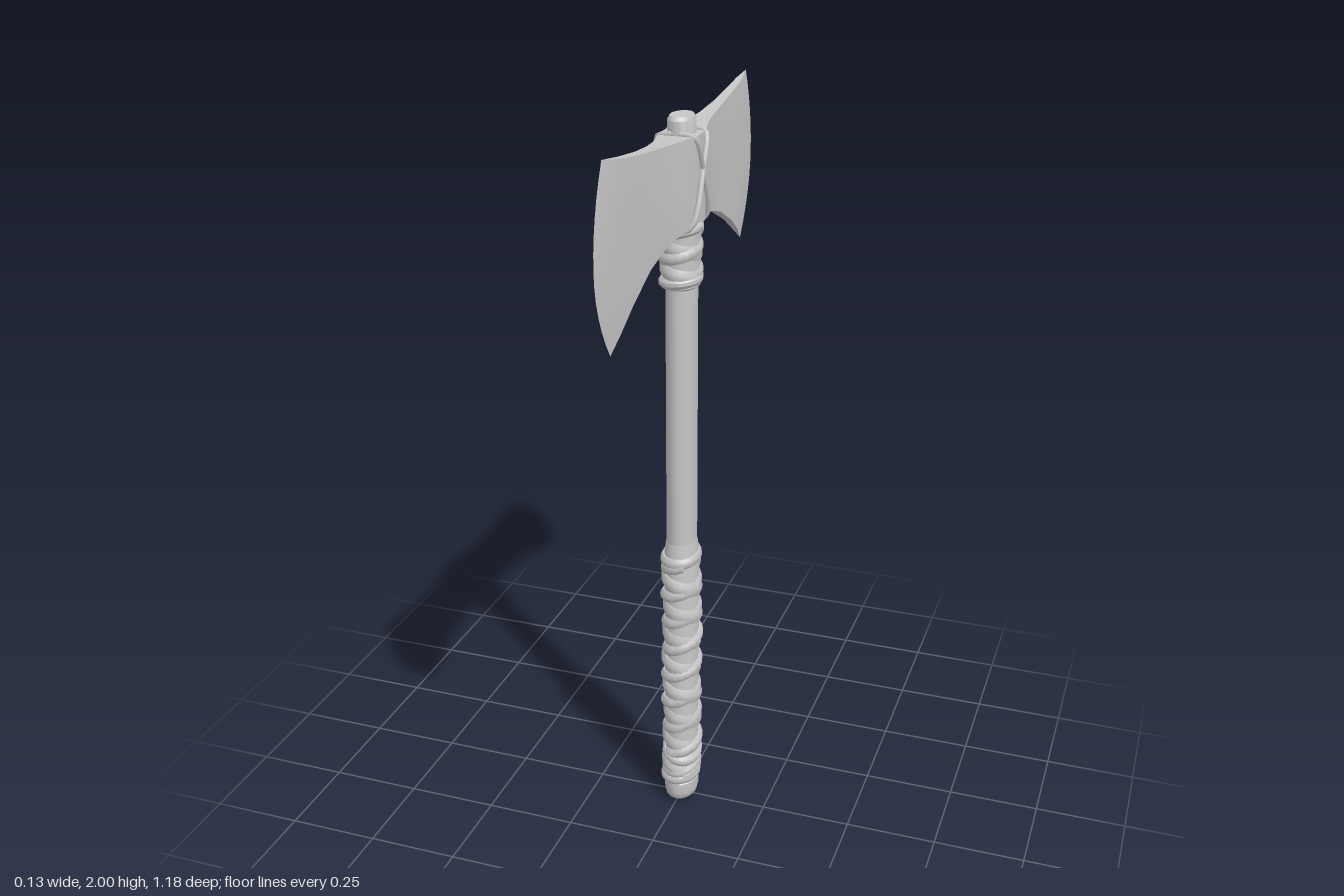
import * as THREE from 'three';
import { toCreasedNormals } from 'three/addons/utils/BufferGeometryUtils.js';

const TAU = Math.PI * 2;

// Skins a series of equal-length closed rings of [x, y, z] points.
function loft(rings, crease) {
  const n = rings[0].length, index = [];
  for (let i = 0; i < rings.length - 1; i++) {
    for (let j = 0; j < n; j++) {
      const a = i * n + j, b = i * n + (j + 1) % n;
      index.push(a, b, b + n, a, b + n, a + n);
    }
  }
  const g = new THREE.BufferGeometry();
  g.setAttribute('position', new THREE.Float32BufferAttribute(rings.flat(2), 3));
  g.setIndex(index);
  return toCreasedNormals(g, crease);
}

// Piecewise linear lookup in [x, y] pairs.
function lookup(table, x) {
  for (let i = 1; i < table.length; i++) {
    const [x0, y0] = table[i - 1], [x1, y1] = table[i];
    if (x <= x1) return y0 + (y1 - y0) * (x - x0) / (x1 - x0);
  }
  return table[table.length - 1][1];
}

// Oval turned piece; the profile holds [z radius, y], x is scaled down.
function oval(profile, xScale) {
  const points = profile.map(([r, y]) => new THREE.Vector2(r, y));
  const g = new THREE.LatheGeometry(points, 16);
  g.scale(xScale, 1, 1);
  return toCreasedNormals(g, 0.6);
}

// Double-bitted head: half thickness against distance from the haft.
const thickness = [[0, 0.05], [0.05, 0.047], [0.1, 0.036], [0.15, 0.027], [0.22, 0.02],
  [0.32, 0.015], [0.45, 0.012], [0.53, 0.008], [0.59, 0]];
function headGeometry() {
  const rows = 12, rings = [];
  const stations = thickness.map(([z]) => z / 0.59);
  const us = [...stations.slice(1).reverse().map(u => -u), ...stations];
  for (const u of us) {
    const half = lookup(thickness, Math.abs(u) * 0.59);
    const side = [];
    for (let j = 0; j <= rows; j++) {
      const v = j / rows, s = 2 * v - 1;
      const z = u * (0.59 - (s < 0 ? 0.09 : 0.06) * s * s);
      const tip = Math.abs(u);
      const top = 1.945 + 0.055 * tip ** 2;
      const bottom = 1.72 - 0.18 * tip ** 2.3;
      side.push([half, bottom + (top - bottom) * v, z]);
    }
    rings.push([...side, ...side.map(([x, y, z]) => [-x, y, z]).reverse()]);
  }
  return loft(rings, 0.5);
}

// Flat leather strip wound round the oval haft from y0 to y1.
function strip({ y0, y1, turns, width, lift, phase = 0, tilt = 0 }) {
  const steps = Math.round(turns * 20), rings = [];
  for (let i = 0; i <= steps; i++) {
    const t = i / steps, a = phase + t * turns * TAU;
    const y = y0 + (y1 - y0) * t + tilt * Math.cos(a * 1.0 + phase);
    const d = lift + 0.0025 * Math.sin(a * 0.73 + phase);
    const h = width / 2;
    const profile = [[-0.006, -h], [d * 0.6, -h], [d, -h * 0.35], [d, h * 0.35], [d * 0.6, h], [-0.006, h]];
    rings.push(profile.map(([r, dy]) => [(0.042 + r) * Math.cos(a), y + dy, (0.055 + r) * Math.sin(a)]));
  }
  return loft(rings, 0.6);
}

export function createModel() {
  const model = new THREE.Group();
  const grey = new THREE.MeshStandardMaterial({ color: 0xc6c6c6 });
  grey.name = 'plainGrey';
  grey.side = THREE.DoubleSide;
  const add = (name, geometry, parent = model) => {
    const mesh = new THREE.Mesh(geometry, grey);
    mesh.name = name;
    parent.add(mesh);
    return mesh;
  };
  const group = name => {
    const g = new THREE.Group();
    g.name = name;
    model.add(g);
    return g;
  };

  // Haft with its top end and rounded pommel
  add('haft', oval([[0.053, 0.05], [0.053, 1.94]], 0.76));
  add('haftTop', oval([[0.05, 1.9], [0.05, 1.98], [0.042, 1.99], [0, 1.99]], 0.68));
  add('pommel', oval([[0, 0], [0.045, 0.002], [0.058, 0.012], [0.064, 0.03], [0.064, 0.062], [0.05, 0.075]], 0.74));
  add('head', headGeometry());

  // Grip wrapping: sleeve, crossing strips and tied ends
  const grip = group('gripWrap');
  add('gripSleeve', oval([[0.053, 0.06], [0.06, 0.062], [0.06, 0.795], [0.053, 0.835]], 0.78), grip);
  add('gripStripUp', strip({ y0: 0.09, y1: 0.775, turns: 8, width: 0.042, lift: 0.012 }), grip);
  add('gripStripDown', strip({ y0: 0.775, y1: 0.09, turns: 8, width: 0.032, lift: 0.014, phase: 1.1 }), grip);
  for (const [y0, tilt, phase] of [[0.08, 0.006, 0], [0.115, 0.014, 1.3], [0.16, 0.018, 2.4], [0.785, 0.004, 0.7]]) {
    add('gripTie', strip({ y0, y1: y0, turns: 1, width: 0.03, lift: 0.014, tilt, phase }), grip);
  }

  // Binding below the head
  const neck = group('neckWrap');
  add('neckSleeve', oval([[0.053, 1.555], [0.06, 1.56], [0.06, 1.725]], 0.78), neck);
  add('neckStripUp', strip({ y0: 1.58, y1: 1.71, turns: 2, width: 0.038, lift: 0.011 }), neck);
  add('neckStripDown', strip({ y0: 1.71, y1: 1.58, turns: 2, width: 0.03, lift: 0.013, phase: 1.2 }), neck);
  for (const [y0, tilt] of [[1.575, 0.005], [1.705, 0.008]]) {
    add('neckTie', strip({ y0, y1: y0, turns: 1, width: 0.026, lift: 0.014, tilt }), neck);
  }

  // Cords crossing over both faces of the head
  const cords = group('headCords');
  for (const s of [1, -1]) {
    const half = [[0.03, 1.948, 0.042], [0.048, 1.942, 0.04], [0.055, 1.86, 0], [0.049, 1.735, -0.055], [0.03, 1.715, -0.06]];
    const loop = [...half, ...half.map(([x, y, z]) => [-x, y, z]).reverse()];
    const path = new THREE.CatmullRomCurve3(loop.map(([x, y, z]) => new THREE.Vector3(x, y, s * z)), true);
    add('headCord', new THREE.TubeGeometry(path, 60, 0.007, 6, true), cords);
  }
  return model;
}
